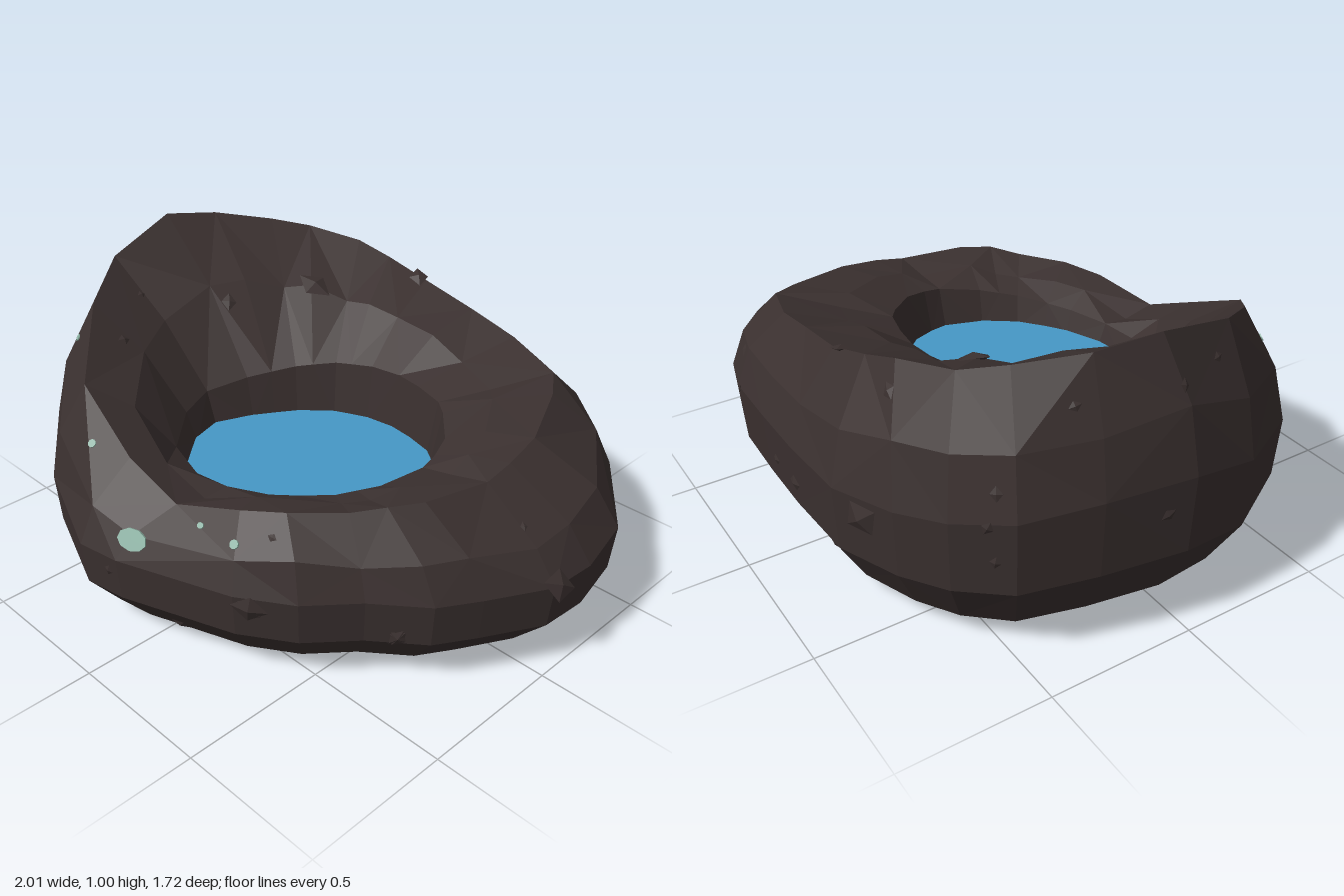
import * as THREE from 'three';

const CX = 0.04, CZ = 0.05;

// Crest of the rock and, on the same meridians, its widest outline: x, y, z
const crest = [
  [0.71, 0.57, -0.03], [0.66, 0.58, 0.2], [0.6, 0.58, 0.3], [0.52, 0.56, 0.38], [0.38, 0.55, 0.5],
  [0.25, 0.53, 0.57], [0.03, 0.48, 0.64], [-0.17, 0.57, 0.66], [-0.45, 0.71, 0.62], [-0.69, 0.85, 0.4],
  [-0.83, 0.93, 0.2], [-0.89, 1, -0.09], [-0.84, 0.97, -0.28], [-0.72, 0.93, -0.46], [-0.62, 0.9, -0.57],
  [-0.43, 0.87, -0.65], [-0.3, 0.83, -0.68], [-0.13, 0.78, -0.7], [0.1, 0.74, -0.69], [0.3, 0.7, -0.68],
  [0.52, 0.66, -0.62], [0.59, 0.64, -0.52], [0.69, 0.61, -0.29], [0.71, 0.59, -0.14],
];
const belly = [
  [0.99, 0.32, -0.03], [0.88, 0.32, 0.17], [0.8, 0.32, 0.3], [0.64, 0.32, 0.43], [0.51, 0.32, 0.58],
  [0.34, 0.32, 0.69], [-0.05, 0.32, 0.83], [-0.2, 0.32, 0.855], [-0.53, 0.37, 0.73], [-0.78, 0.45, 0.53],
  [-0.97, 0.52, 0.22], [-1, 0.57, -0.02], [-0.95, 0.56, -0.3], [-0.88, 0.54, -0.54], [-0.75, 0.52, -0.68],
  [-0.6, 0.5, -0.77], [-0.38, 0.48, -0.85], [-0.1, 0.47, -0.86], [0.12, 0.46, -0.855], [0.37, 0.44, -0.84],
  [0.55, 0.42, -0.79], [0.75, 0.38, -0.67], [0.96, 0.34, -0.41], [1, 0.32, -0.2],
];
// Pool outline: x, z
const pool = [
  [0.48, -0.03], [0.46, 0.1], [0.33, 0.28], [0.12, 0.42], [-0.07, 0.46], [-0.25, 0.42], [-0.38, 0.3],
  [-0.43, 0.13], [-0.37, -0.02], [-0.28, -0.16], [-0.18, -0.26], [-0.05, -0.32], [0.1, -0.34], [0.28, -0.3],
  [0.42, -0.2],
];

// Point where a ray from the middle towards (dx, dz) meets an outline
function onOutline(outline, dx, dz) {
  for (let i = 0; i < outline.length; i++) {
    const [px, pz] = outline[i], [qx, qz] = outline[(i + 1) % outline.length];
    const a = dx * (pz - CZ) - dz * (px - CX), b = dx * (qz - CZ) - dz * (qx - CX);
    if (a * b > 0 || a === b) continue;
    const t = a / (a - b), x = px + t * (qx - px), z = pz + t * (qz - pz);
    if ((x - CX) * dx + (z - CZ) * dz > 0) return [x, z];
  }
  return [CX, CZ];
}

// Skin joining closed rings of points; diagonals alternate for irregular facets
function loft(rings) {
  const n = rings[0].length, index = [];
  for (let j = 0; j < rings.length - 1; j++) {
    for (let i = 0; i < n; i++) {
      const k = (i + 1) % n;
      const a = j * n + i, b = j * n + k, c = b + n, d = a + n;
      if ((i + j) % 2) index.push(a, d, b, b, d, c);
      else index.push(a, d, c, a, c, b);
    }
  }
  const g = new THREE.BufferGeometry();
  g.setAttribute('position', new THREE.Float32BufferAttribute(rings.flat(2), 3));
  g.setIndex(index);
  g.computeVertexNormals();
  return g;
}

export function createModel() {
  const group = new THREE.Group();
  const material = (name, color) => new THREE.MeshStandardMaterial({ name, color, flatShading: true });
  const rockMat = material('dark rock', 0x3a302f);
  const waterMat = material('pool blue', 0x4698c6);
  const mintMat = material('pale lichen', 0x8db3a4);

  let seed = 11;
  const rand = () => (seed = (seed * 16807) % 2147483647) / 2147483647;
  const add = (name, geometry, mat) => {
    const mesh = new THREE.Mesh(geometry, mat);
    mesh.name = name;
    group.add(mesh);
    return mesh;
  };

  // Rock shell, from the flat base up over the crest and down into the pool
  const mix = THREE.MathUtils.lerp;
  const wobble = () => (rand() - 0.5) * 0.04;
  const rim = crest.map(([x, , z]) => {
    const [px, pz] = onOutline(pool, x - CX, z - CZ);
    return [px, 0.53 - 0.17 * pz, pz];
  });
  const waterY = 0.39;
  const scaled = (s, h) => belly.map(([x, y, z]) => [x * s, y * h, z * s]);
  const between = (from, to, t, h) => from.map((p, i) => {
    const q = to[i];
    return [mix(p[0], q[0], t), mix(p[1], q[1], h) + wobble(), mix(p[2], q[2], t)];
  });
  const inset = (y, s) => rim.map(([x, , z]) => [mix(CX, x, s), y, mix(CZ, z, s)]);
  const rock = add('rockShell', loft([
    scaled(0, 0),
    scaled(0.66, 0),
    scaled(0.87, 0.16),
    scaled(0.985, 0.53),
    belly,
    between(belly, crest, 0.28, 0.5),
    crest,
    between(crest, rim, 0.55, 0.42),
    rim,
    inset(waterY - 0.02, 0.92),
  ]), rockMat);

  // Water surface
  add('poolWater', loft([inset(waterY, 0.935), inset(waterY, 0)]), waterMat);

  // Drop a small shape on the shell, seen along one axis
  const rays = {
    front: (u, v) => [[u, v, 5], [0, 0, -1]],
    back: (u, v) => [[u, v, -5], [0, 0, 1]],
    left: (u, v) => [[5, v, u], [-1, 0, 0]],
    right: (u, v) => [[-5, v, u], [1, 0, 0]],
    top: (u, v) => [[u, 5, v], [0, -1, 0]],
  };
  const caster = new THREE.Raycaster();
  function place(name, geometry, mat, side, u, v, scale, turn) {
    const [from, dir] = rays[side](u, v);
    caster.set(new THREE.Vector3(...from), new THREE.Vector3(...dir));
    const hit = caster.intersectObject(rock)[0];
    if (!hit) return;
    const mesh = add(name, geometry, mat);
    mesh.position.copy(hit.point);
    mesh.lookAt(hit.point.clone().add(hit.face.normal));
    mesh.rotateZ(turn);
    mesh.scale.set(...scale);
  }

  // Shallow angular chips in the rock: across, up (or z from the top), size
  const chip = new THREE.OctahedronGeometry(1);
  const chips = {
    front: [[0.38, 0.28, 0.06], [0.08, 0.07, 0.035], [-0.09, 0.265, 0.022], [0.71, 0.19, 0.035],
      [-0.86, 0.2, 0.03], [-0.89, 0.86, 0.02], [0.38, 0.49, 0.016]],
    left: [[0.66, 0.28, 0.045], [0.36, 0.19, 0.035], [-0.05, 0.32, 0.065], [-0.67, 0.48, 0.032],
      [-0.52, 0.3, 0.022], [-0.65, 0.28, 0.022], [-0.77, 0.32, 0.02]],
    top: [[-0.4, -0.38, 0.07], [-0.16, -0.69, 0.045], [-0.46, -0.69, 0.03], [-0.54, -0.08, 0.035],
      [-0.57, 0.37, 0.025], [-0.7, 0.19, 0.018], [0.85, -0.04, 0.016], [0.41, -0.79, 0.025],
      [0.68, -0.67, 0.032]],
    back: [[-0.48, 0.42, 0.075], [-0.1, 0.33, 0.035], [0.05, 0.33, 0.025], [-0.25, 0.17, 0.025],
      [0.22, 0.09, 0.06], [0.35, 0.44, 0.018]],
    right: [[-0.57, 0.62, 0.024], [-0.6, 0.52, 0.024], [-0.58, 0.4, 0.022], [-0.35, 0.84, 0.02],
      [-0.05, 0.85, 0.022], [-0.1, 0.46, 0.026]],
  };
  for (const [side, list] of Object.entries(chips)) {
    for (const [u, v, s] of list) {
      place('rockChip', chip, rockMat, side, u, v, [s, s * 0.8, s * 0.25], rand() * 3);
    }
  }

  // Pale lichen spots on the front
  const spot = new THREE.CylinderGeometry(1, 1, 1, 9).rotateX(Math.PI / 2);
  for (const [x, y, w, h] of [[-0.02, 0.39, 0.054, 0.036], [-0.71, 0.735, 0.012, 0.012],
    [-0.31, 0.58, 0.014, 0.014], [0.15, 0.46, 0.012, 0.01], [0.29, 0.455, 0.016, 0.015]]) {
    place('lichenSpot', spot, mintMat, 'front', x, y, [w, h, 0.009], 0);
  }
  return group;
}
